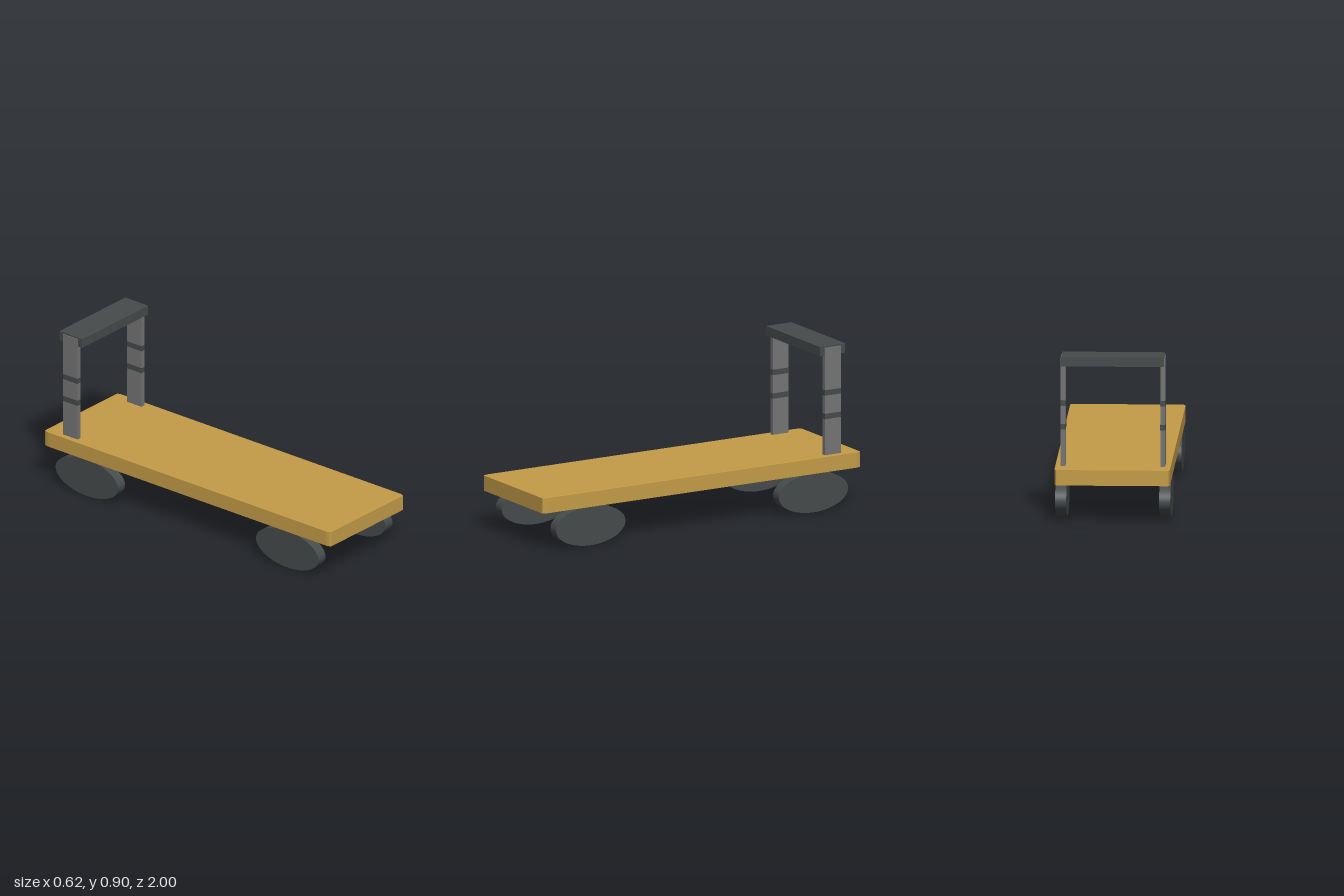
import * as THREE from 'three';
import { RoundedBoxGeometry } from 'three/addons/geometries/RoundedBoxGeometry.js';

export function createModel() {
  const model = new THREE.Group();
  model.name = 'platformCart';

  const paint = (name, color) => {
    const m = new THREE.MeshStandardMaterial({ color });
    m.name = name;
    return m;
  };
  const wood = paint('ochreDeck', 0xc49c47);
  const rubber = paint('darkRubber', 0x464b4c);
  const steel = paint('greySteel', 0x757575);

  const add = (name, geometry, material, x, y, z) => {
    const mesh = new THREE.Mesh(geometry, material);
    mesh.name = name;
    mesh.position.set(x, y, z);
    model.add(mesh);
    return mesh;
  };

  // Deck: a softly bevelled board, the bevel stretched with its length
  const deck = new RoundedBoxGeometry(1, 1, 1, 3, 0.02);
  deck.scale(0.62, 0.087, 2);
  add('deck', deck, wood, 0, 0.2535, 0);

  // Wheels: oval discs under the four corners
  const wheel = new THREE.CylinderGeometry(1, 1, 0.06, 64);
  wheel.rotateZ(Math.PI / 2);
  wheel.scale(1, 0.108, 0.218);

  // Posts with two dark bands each
  const post = new THREE.BoxGeometry(0.025, 0.605, 0.1);
  const band = new THREE.BoxGeometry(0.027, 0.03, 0.102);

  for (const side of [1, -1]) {
    const label = side > 0 ? 'left' : 'right';
    add(`${label}FrontWheel`, wheel, rubber, side * 0.279, 0.108, 0.7);
    add(`${label}RearWheel`, wheel, rubber, side * 0.279, 0.108, -0.7);
    add(`${label}Post`, post, steel, side * 0.2675, 0.5875, -0.84);
    add(`${label}LowerBand`, band, rubber, side * 0.2675, 0.511, -0.84);
    add(`${label}UpperBand`, band, rubber, side * 0.2675, 0.641, -0.84);
  }

  // Push handle across the posts
  add('handle', new THREE.BoxGeometry(0.551, 0.052, 0.16), rubber, 0, 0.872, -0.84);

  return model;
}
